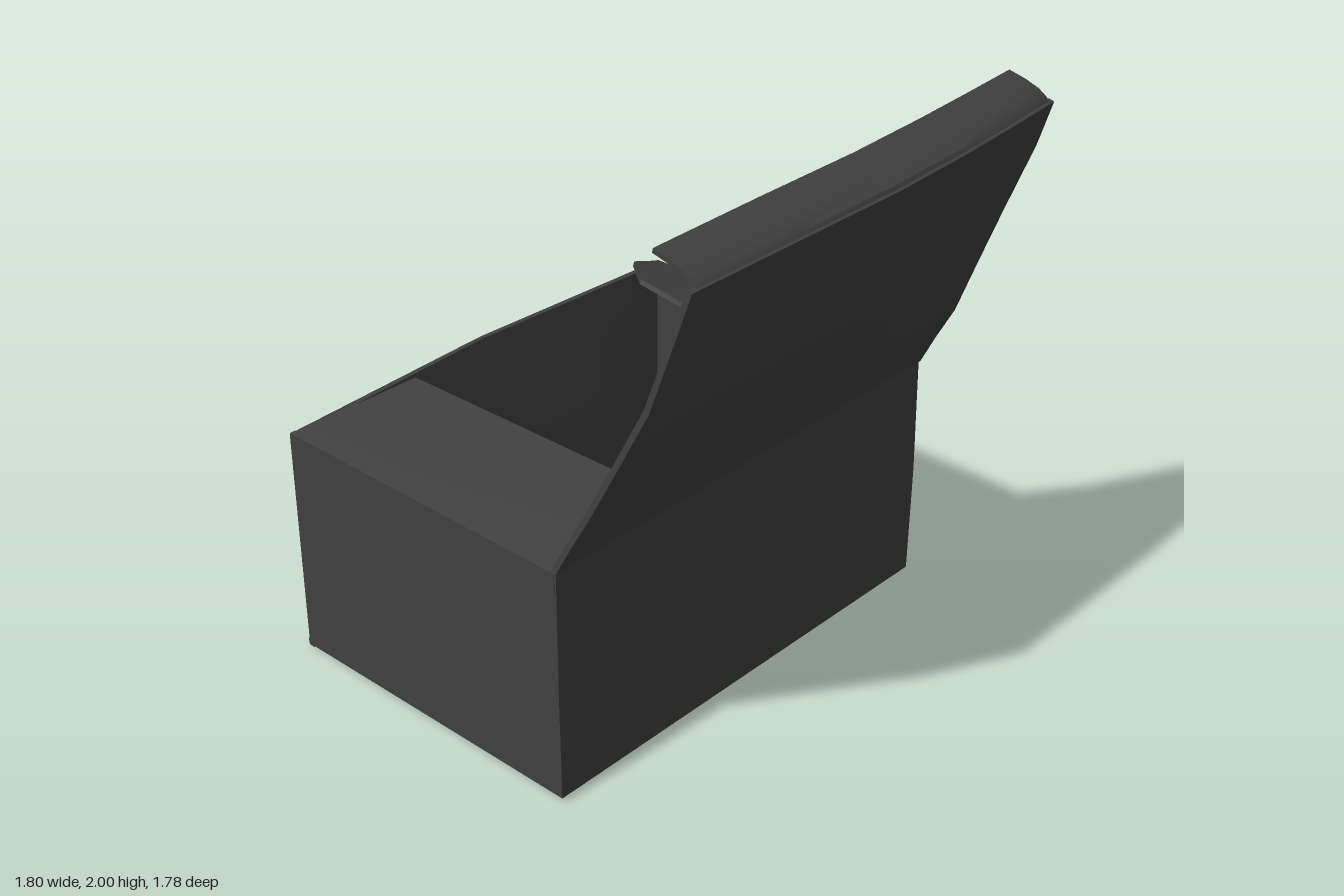
import * as THREE from 'three';
import { toCreasedNormals } from 'three/addons/utils/BufferGeometryUtils.js';

const board = new THREE.MeshStandardMaterial({ color: 0x404040, side: THREE.DoubleSide });

// A sheet of card: rows of [x, y, z] points on the outer face, thickened inwards.
function sheet(name, rows, thickness) {
  const nr = rows.length, nc = rows[0].length, n = nr * nc;
  const outer = rows.flat(2);
  const faces = [];
  for (let i = 0; i < nr - 1; i++) {
    for (let j = 0; j < nc - 1; j++) {
      const a = i * nc + j, b = a + 1, c = a + nc, d = c + 1;
      faces.push(a, b, d, a, d, c);
    }
  }
  const face = new THREE.BufferGeometry();
  face.setAttribute('position', new THREE.Float32BufferAttribute(outer, 3));
  face.setIndex(faces);
  face.computeVertexNormals();
  const normals = face.attributes.normal.array;
  const inner = outer.map((v, k) => v - normals[k] * thickness);

  // inner face, then the rim around the border
  const index = [...faces];
  for (let k = 0; k < faces.length; k += 3) index.push(faces[k] + n, faces[k + 2] + n, faces[k + 1] + n);
  const rim = [];
  for (let j = 0; j < nc - 1; j++) rim.push(j);
  for (let i = 0; i < nr - 1; i++) rim.push(i * nc + nc - 1);
  for (let j = nc - 1; j > 0; j--) rim.push((nr - 1) * nc + j);
  for (let i = nr - 1; i > 0; i--) rim.push(i * nc);
  rim.forEach((a, k) => {
    const b = rim[(k + 1) % rim.length];
    index.push(a, a + n, b + n, a, b + n, b);
  });

  const geometry = new THREE.BufferGeometry();
  geometry.setAttribute('position', new THREE.Float32BufferAttribute([...outer, ...inner], 3));
  geometry.setIndex(index);
  const mesh = new THREE.Mesh(toCreasedNormals(geometry, 0.6), board);
  mesh.name = name;
  return mesh;
}

export function createModel() {
  const box = new THREE.Group();
  box.name = 'openBox';
  const T = 0.022;

  // floor
  box.add(sheet('floor', [
    [[-0.9, 0.015, -0.845], [0.885, 0, -0.845]],
    [[-0.9, 0.015, 0.38], [0.885, 0, 0.38]],
  ], T));

  // front wall
  box.add(sheet('frontWall', [
    [[-0.9, 0.015, 0.382], [0, 0.008, 0.382], [0.885, 0, 0.382]],
    [[-0.905, 0.42, 0.385], [0, 0.42, 0.385], [0.888, 0.42, 0.385]],
    [[-0.9, 0.85, 0.382], [0, 0.85, 0.382], [0.882, 0.85, 0.382]],
  ], T));

  // back wall, its top edge pushed outwards in the middle
  const across = [0.88, 0.6, 0.3, 0, -0.3, -0.6, -0.895];
  box.add(sheet('backWall', [[0.004, 0], [0.35, 0.15], [0.65, 0.4], [0.845, 1]].map(([y, push]) =>
    across.map((x) => [x, y, -0.848 - 0.042 * push * (1 - Math.abs(x) / 0.9)])), T));

  // side walls, the right one bulging slightly
  const heights = [[0.01, 0], [0.22, 0.7], [0.45, 1], [0.65, 0.8], [0.85, 0.1]];
  const depths = [[0.375, 0], [0.1, 0.5], [-0.2, 0.85], [-0.5, 1], [-0.845, 0]];
  box.add(sheet('rightWall', heights.map(([y, a]) =>
    depths.map(([z, b]) => [0.882 + 0.018 * a * b, y, z])), T));
  box.add(sheet('leftWall', [
    [[-0.897, 0.015, -0.845], [-0.9, 0.015, 0.375]],
    [[-0.897, 0.85, -0.845], [-0.902, 0.85, 0.375]],
  ], T));

  // side flaps folded part way in
  box.add(sheet('rightFlap', [
    [[0.882, 0.85, 0.355], [0.882, 0.85, -0.1], [0.882, 0.85, -0.835]],
    [[0.72, 0.91, 0.345], [0.71, 0.912, -0.22], [0.72, 0.91, -0.815]],
    [[0.43, 0.985, 0.04], [0.435, 0.995, -0.2], [0.43, 1.04, -0.51]],
  ], 0.018));
  box.add(sheet('leftFlap', [
    [[-0.898, 0.85, -0.84], [-0.9, 0.85, 0.36]],
    [[-0.8, 0.865, -0.815], [-0.8, 0.865, 0.342]],
    [[-0.425, 0.9, -0.755], [-0.425, 0.91, 0.322]],
  ], 0.018));

  // lid: z of the left edge and of the right edge at each height
  const lidRows = [
    [0.85, 0.382, 0.382, 0.9], [0.97, 0.445, 0.445, 0.893], [1.1, 0.518, 0.518, 0.887],
    [1.3, 0.625, 0.595, 0.884], [1.52, 0.742, 0.68, 0.884], [1.77, 0.835, 0.78, 0.884],
    [1.93, 0.893, 0.83, 0.884],
  ];
  const steps = [-1, -0.5, 0, 0.4, 0.7, 1];
  const bend = (s) => (s <= 0 ? 0 : s ** 1.4);
  box.add(sheet('lid', lidRows.map(([y, zl, zr, w]) =>
    steps.map((s) => [s * w - (s > 0 ? 0.008 * s : 0), y, zl + (zr - zl) * bend(s)])), 0.02));

  // tuck flap curling back from the lid edge
  const curl = [[0, 1.922], [-0.012, 1.945], [-0.045, 1.967], [-0.095, 1.985], [-0.157, 2]];
  box.add(sheet('tuckFlap', curl.map(([dz, y]) =>
    steps.map((s) => [s * 0.857, y, 0.89 + dz - 0.063 * bend(s) - (dz < -0.03 && s > -1 ? 0.01 * (1 - s * s) : 0)])), 0.015));

  return box;
}
